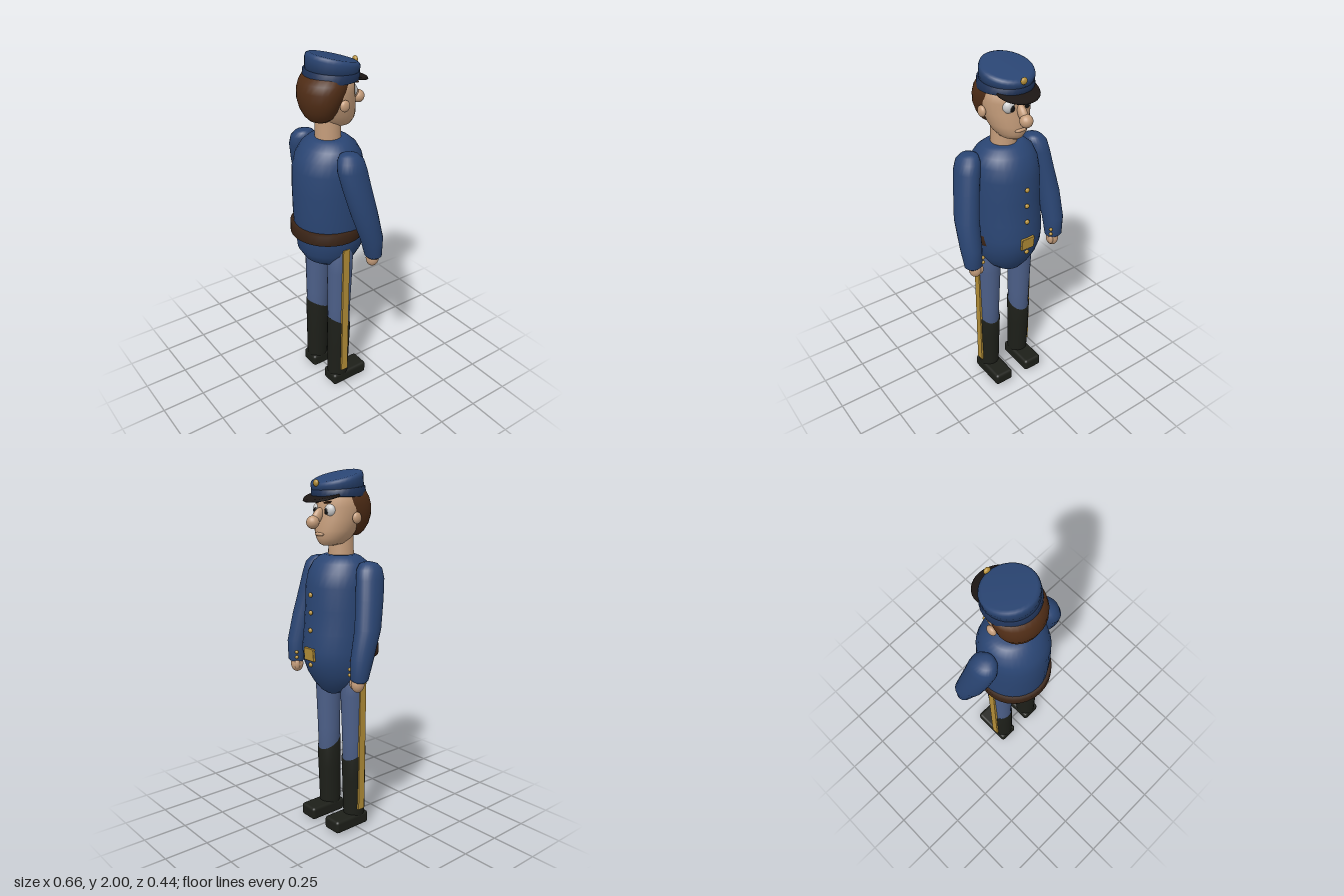
import * as THREE from 'three';
import { RoundedBoxGeometry } from 'three/addons/geometries/RoundedBoxGeometry.js';

const mat = (color) => new THREE.MeshStandardMaterial({ color });
const M = {
  jacket: mat(0x2a4573), trousers: mat(0x4c5f88), boot: mat(0x1d1f19), gold: mat(0xb58f38),
  skin: mat(0xc49c7a), hair: mat(0x502d16), belt: mat(0x3a2416), peak: mat(0x1c1614),
  white: mat(0xe8e8e8), black: mat(0x101010), band: mat(0x1f3358),
};

// Stack of elliptical rings, bottom to top: [y, rx, zMin, zMax, centreX, slope along z]
function loft(rings, seg = 28) {
  const pos = [], index = [];
  const n = rings.length;
  for (const [y, rx, z0, z1, cx = 0, slope = 0] of rings) {
    const rz = (z1 - z0) / 2, cz = (z0 + z1) / 2;
    for (let j = 0; j < seg; j++) {
      const a = (j / seg) * Math.PI * 2, dz = rz * Math.sin(a);
      pos.push(cx + rx * Math.cos(a), y + slope * dz, cz + dz);
    }
  }
  for (const r of [rings[0], rings[n - 1]]) pos.push(r[4] ?? 0, r[0], (r[2] + r[3]) / 2);
  const bottom = n * seg, top = bottom + 1;
  for (let j = 0; j < seg; j++) {
    const k = (j + 1) % seg;
    for (let i = 0; i < n - 1; i++) {
      const a = i * seg + j, b = i * seg + k;
      index.push(a, a + seg, b, b, a + seg, b + seg);
    }
    index.push(bottom, j, k, top, (n - 1) * seg + k, (n - 1) * seg + j);
  }
  const g = new THREE.BufferGeometry();
  g.setAttribute('position', new THREE.Float32BufferAttribute(pos, 3));
  g.setIndex(index);
  g.computeVertexNormals();
  return g;
}

function add(parent, name, geometry, material, x = 0, y = 0, z = 0) {
  const m = new THREE.Mesh(geometry, material);
  m.name = name;
  m.position.set(x, y, z);
  parent.add(m);
  return m;
}

function ball(parent, name, material, x, y, z, rx, ry = rx, rz = rx) {
  const m = add(parent, name, new THREE.SphereGeometry(1, 20, 14), material, x, y, z);
  m.scale.set(rx, ry, rz);
  return m;
}

function group(parent, name) {
  const g = new THREE.Group();
  g.name = name;
  parent.add(g);
  return g;
}

export function createModel() {
  const model = new THREE.Group();
  model.name = 'uniformedMan';

  // Jacket with a belly towards -z
  const body = group(model, 'body');
  add(body, 'jacket', loft([
    [0.795, 0.04, -0.08, 0.02], [0.815, 0.085, -0.11, 0.08], [0.86, 0.14, -0.145, 0.145],
    [0.92, 0.172, -0.18, 0.182], [0.99, 0.188, -0.205, 0.188], [1.06, 0.193, -0.212, 0.198],
    [1.15, 0.193, -0.2, 0.203], [1.28, 0.192, -0.188, 0.205], [1.4, 0.188, -0.183, 0.202],
    [1.47, 0.178, -0.165, 0.182], [1.52, 0.155, -0.135, 0.145], [1.55, 0.12, -0.1, 0.108],
    [1.56, 0.09, -0.08, 0.085],
  ], 32), M.jacket);
  // Belt sinks into the belly at the front
  add(body, 'belt', loft([
    [1.008, 0.19, -0.17, 0.205], [1.015, 0.205, -0.18, 0.217],
    [1.07, 0.205, -0.18, 0.217], [1.08, 0.19, -0.17, 0.205],
  ], 32), M.belt);
  const buckle = add(body, 'buckle', new RoundedBoxGeometry(0.08, 0.07, 0.016, 2, 0.004), M.gold, 0, 1.04, -0.21);
  buckle.rotation.x = -0.08;
  for (const [y, z] of [[1.36, -0.2], [1.265, -0.2], [1.17, -0.204], [0.98, -0.204]])
    ball(body, 'jacketButton', M.gold, 0, y, z, 0.013, 0.013, 0.01);

  // Arms and legs are built on +x and mirrored by s
  for (const s of [1, -1]) {
    const side = s > 0 ? 'left' : 'right';
    const put = (rings) => loft(rings.map(([y, rx, z0, z1, cx, sl = 0]) => [y, rx, z0, z1, cx * s, sl]), 24);

    const arm = group(model, side + 'Arm');
    add(arm, 'sleeve', put([
      [0.925, 0.035, -0.125, -0.065, 0.27], [0.94, 0.05, -0.14, -0.05, 0.271],
      [1.05, 0.058, -0.142, -0.015, 0.273], [1.2, 0.064, -0.108, 0.04, 0.265],
      [1.35, 0.063, -0.08, 0.08, 0.24], [1.45, 0.064, -0.063, 0.1, 0.222],
      [1.5, 0.06, -0.05, 0.095, 0.212], [1.527, 0.045, -0.025, 0.075, 0.202],
      [1.535, 0.025, 0, 0.05, 0.197],
    ]), M.jacket);
    ball(arm, 'hand', M.skin, 0.262 * s, 0.913, -0.098, 0.035, 0.046, 0.036);
    ball(arm, 'thumb', M.skin, 0.238 * s, 0.915, -0.115, 0.014, 0.03, 0.016);
    for (const y of [0.96, 0.99]) ball(arm, 'cuffButton', M.gold, 0.229 * s, y, -0.125, 0.01);

    const leg = group(model, side + 'Leg');
    add(leg, 'trouserLeg', put([
      [0.3, 0.057, -0.05, 0.075, 0.108], [0.55, 0.062, -0.055, 0.078, 0.108],
      [0.8, 0.069, -0.065, 0.08, 0.108], [0.97, 0.07, -0.068, 0.08, 0.11],
    ]), M.trousers);
    add(leg, 'bootShaft', put([
      [0.003, 0.035, -0.02, 0.055, 0.107], [0.02, 0.056, -0.042, 0.076, 0.107],
      [0.1, 0.059, -0.046, 0.08, 0.107], [0.3, 0.063, -0.053, 0.08, 0.108],
      [0.452, 0.065, -0.058, 0.081, 0.108, 0.55], [0.454, 0.05, -0.045, 0.07, 0.108, 0.55],
    ]), M.boot);
    add(leg, 'bootFoot', new RoundedBoxGeometry(0.116, 0.074, 0.235, 3, 0.018), M.boot, 0.107 * s, 0.047, -0.038);
    const stripe = add(leg, 'stripe', new THREE.BoxGeometry(0.018, 0.84, 0.042), M.gold, 0.17 * s, 0.54, 0.015);
    stripe.rotation.z = -0.009 * s;
  }

  // Head
  const head = group(model, 'head');
  add(head, 'neck', new THREE.CylinderGeometry(0.066, 0.07, 0.2, 24), M.skin, 0, 1.6, 0.01);
  add(head, 'face', loft([
    [1.612, 0.03, -0.11, -0.03], [1.622, 0.06, -0.125, 0.03], [1.65, 0.085, -0.138, 0.06],
    [1.69, 0.105, -0.142, 0.09], [1.75, 0.121, -0.134, 0.12], [1.81, 0.128, -0.127, 0.13],
    [1.9, 0.125, -0.125, 0.12],
  ]), M.skin);
  add(head, 'hair', loft([
    [1.66, 0.06, 0.015, 0.115], [1.68, 0.088, -0.005, 0.135], [1.72, 0.116, -0.025, 0.156],
    [1.77, 0.135, -0.045, 0.168], [1.82, 0.142, -0.075, 0.168], [1.86, 0.14, -0.09, 0.155],
    [1.91, 0.125, -0.09, 0.12],
  ]), M.hair);
  const nose = ball(head, 'noseBridge', M.skin, 0, 1.763, -0.15, 0.022, 0.05, 0.028);
  nose.rotation.x = 0.6;
  ball(head, 'noseTip', M.skin, 0, 1.735, -0.18, 0.034);
  ball(head, 'lowerLip', M.skin, 0, 1.672, -0.137, 0.035, 0.01, 0.013);
  for (const s of [1, -1]) {
    ball(head, 'ear', M.skin, 0.135 * s, 1.755, 0.003, 0.017, 0.03, 0.028);
    ball(head, 'eye', M.white, 0.048 * s, 1.795, -0.1, 0.034, 0.036, 0.03);
    ball(head, 'pupil', M.black, 0.044 * s, 1.79, -0.126, 0.014, 0.017, 0.007);
    const brow = ball(head, 'eyebrow', M.hair, 0.05 * s, 1.835, -0.122, 0.03, 0.006, 0.01);
    brow.rotation.z = 0.15 * s;
  }

  // Cap: crown leans down towards the front
  const cap = group(model, 'cap');
  add(cap, 'capBand', loft([
    [1.862, 0.138, -0.145, 0.13], [1.865, 0.145, -0.152, 0.137], [1.905, 0.142, -0.152, 0.133, 0, 0.08],
    [1.908, 0.13, -0.14, 0.12, 0, 0.08],
  ], 32), M.band);
  add(cap, 'capCrown', loft([
    [1.89, 0.135, -0.148, 0.125, 0, 0.05], [1.945, 0.138, -0.157, 0.12, 0, 0.24],
    [1.96, 0.133, -0.153, 0.114, 0, 0.26], [1.967, 0.12, -0.14, 0.1, 0, 0.26],
  ], 32), M.jacket);
  add(cap, 'capPeak', loft([
    [1.862, 0.112, -0.206, 0.005, 0, 0.27], [1.867, 0.116, -0.212, 0.01, 0, 0.27],
    [1.876, 0.112, -0.206, 0.005, 0, 0.27],
  ], 32), M.peak);
  ball(cap, 'capBadge', M.gold, 0, 1.93, -0.157, 0.018, 0.018, 0.012);

  return model;
}
